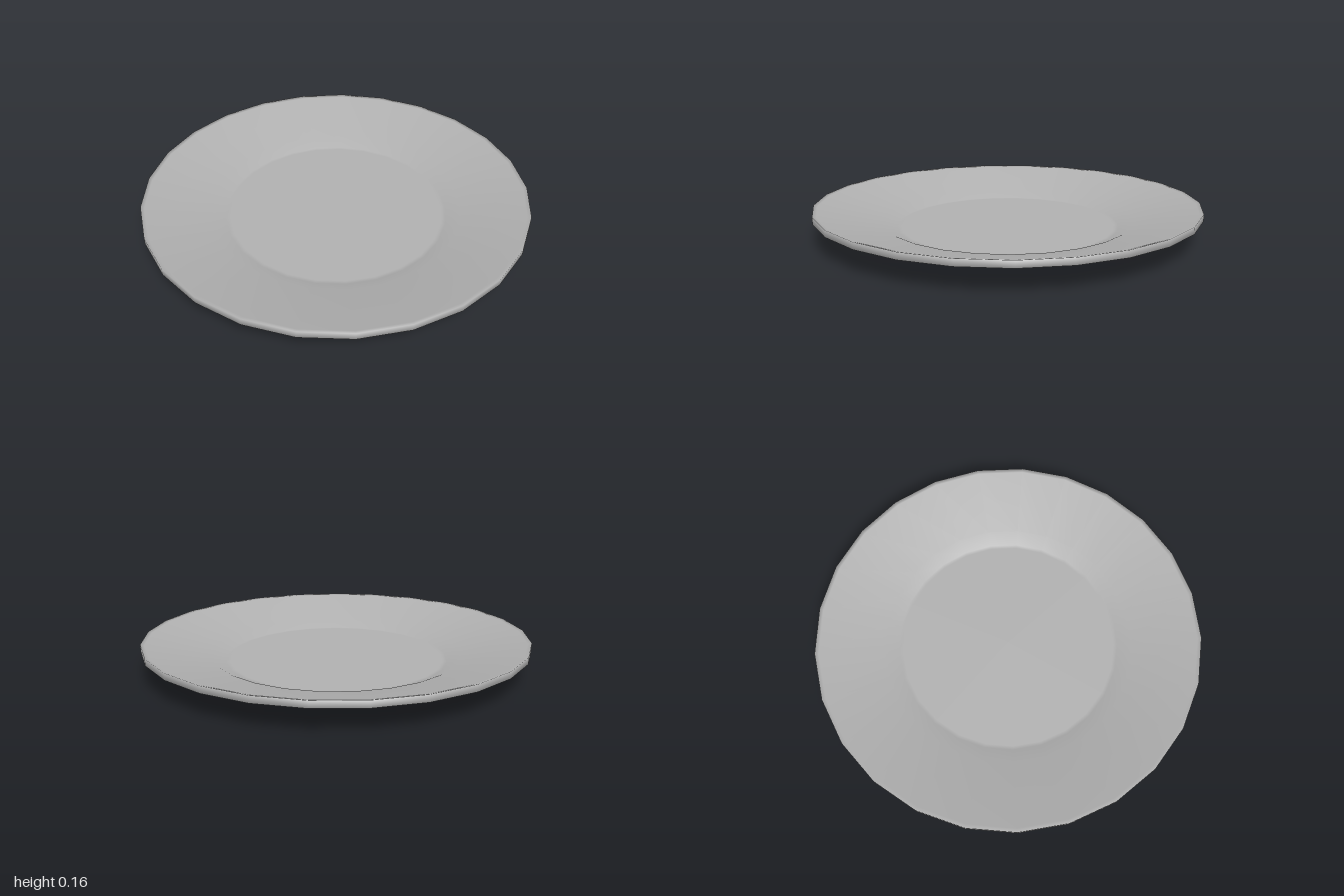
import * as THREE from 'three';

const SIDES = 25;

// Smooth surface of revolution with one corner pointing to the back
function turned(name, points, material) {
  const profile = points.map(([r, y]) => new THREE.Vector2(r, y));
  const mesh = new THREE.Mesh(new THREE.LatheGeometry(profile, SIDES, Math.PI), material);
  mesh.name = name;
  return mesh;
}

export function createModel() {
  const group = new THREE.Group();
  group.name = 'plate';
  const ceramic = new THREE.MeshStandardMaterial({ color: 0xb0b0b0 });
  ceramic.name = 'grey ceramic';

  // Underside, foot, rim edge, sloping inside and flat floor in one profile;
  // the close pairs of points keep the flat areas evenly shaded
  group.add(turned('dish', [
    [0, 0], [0.56, 0], [0.58, 0],
    [0.65, 0.032], [0.98, 0.115],
    [1, 0.12], [1, 0.155],
    [0.98, 0.15], [0.65, 0.068],
    [0.58, 0.036], [0.56, 0.036], [0, 0.036],
  ], ceramic));

  // Centre the odd-sided outline front to back
  group.children[0].position.z = (1 - Math.cos(Math.PI / SIDES)) / 2;
  return group;
}
